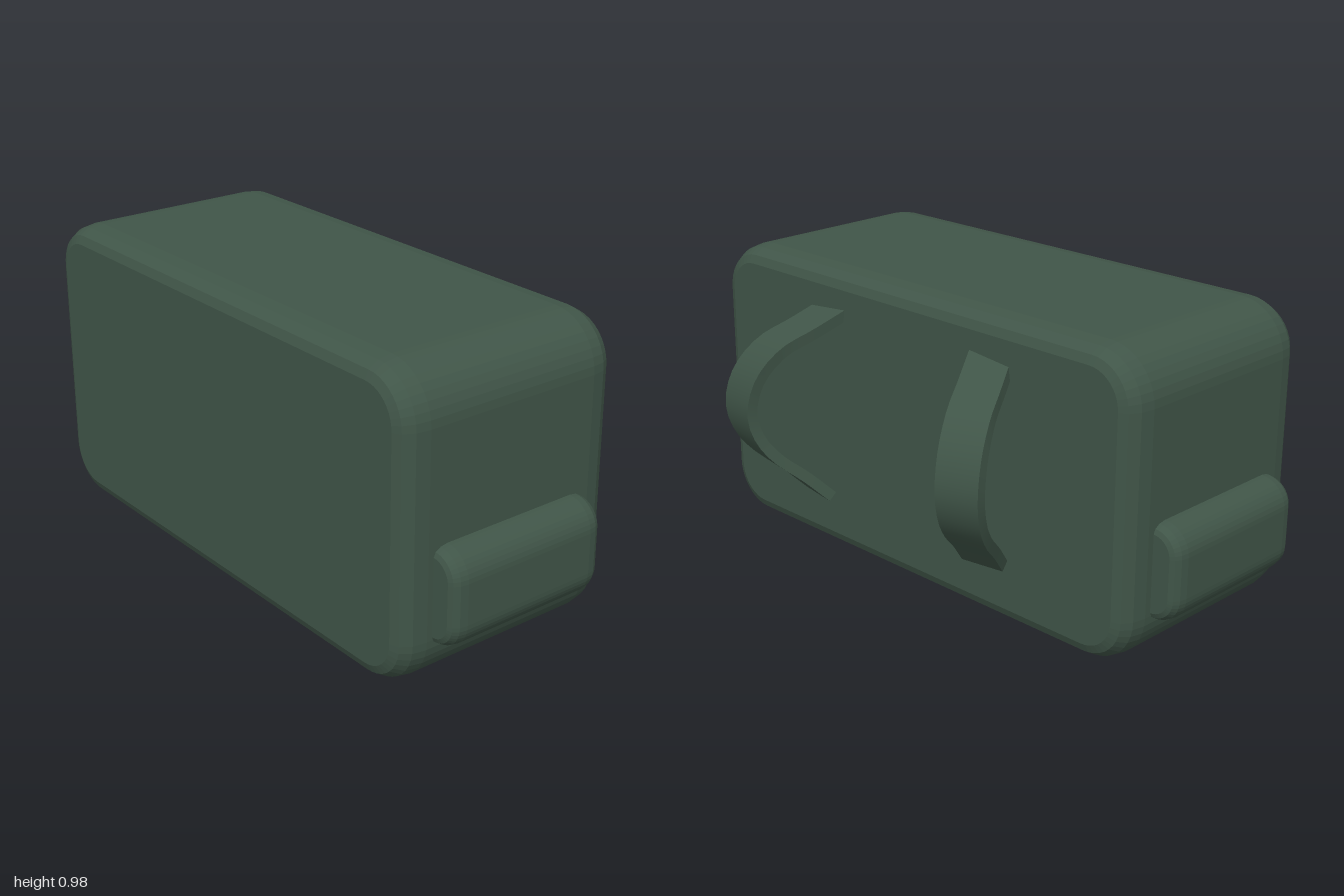
import * as THREE from 'three';

const fabric = new THREE.MeshStandardMaterial({ color: 0x405548 });
fabric.name = 'dark green fabric';

// Box with rounded outline in x/y and a soft bevel on its z ends
function paddedBox(name, [w, h, d], radius, bevelSize, bevelDepth, [x, y, z]) {
  const a = w / 2, b = h / 2, r = radius;
  const shape = new THREE.Shape();
  shape.absarc(a - r, b - r, r, 0, Math.PI / 2);
  shape.absarc(r - a, b - r, r, Math.PI / 2, Math.PI);
  shape.absarc(r - a, r - b, r, Math.PI, Math.PI * 1.5);
  shape.absarc(a - r, r - b, r, Math.PI * 1.5, Math.PI * 2);
  shape.closePath();
  const geo = new THREE.ExtrudeGeometry(shape, {
    depth: d - 2 * bevelDepth,
    curveSegments: 5,
    bevelSegments: 3,
    bevelSize,
    bevelOffset: -bevelSize,
    bevelThickness: bevelDepth,
  });
  geo.translate(0, 0, bevelDepth - d / 2);
  const mesh = new THREE.Mesh(geo, fabric);
  mesh.name = name;
  mesh.position.set(x, y, z);
  return mesh;
}

// Flat band bent along a curve that bows backwards and outwards
function strap(name, side) {
  const profile = [
    [0.215, -0.285], [0.295, -0.36], [0.37, -0.44], [0.44, -0.488], [0.53, -0.51],
    [0.64, -0.485], [0.73, -0.415], [0.785, -0.32], [0.845, -0.22],
  ];
  const path = new THREE.CatmullRomCurve3(profile.map(([y, z]) =>
    new THREE.Vector3(side * (0.375 + 0.53 * (-z - 0.27)), y, z)));
  const width = new THREE.Vector3(1, 0, side * 0.17).normalize();
  const geo = new THREE.BoxGeometry(0.15, 0.036, 1, 1, 1, 24);
  const pos = geo.attributes.position;
  for (let i = 0; i < pos.count; i++) {
    const t = THREE.MathUtils.clamp(pos.getZ(i) + 0.5, 0, 1);
    const normal = path.getTangentAt(t).cross(width).normalize();
    const p = path.getPointAt(t)
      .addScaledVector(width, pos.getX(i))
      .addScaledVector(normal, pos.getY(i));
    pos.setXYZ(i, p.x, p.y, p.z);
  }
  geo.computeVertexNormals();
  const mesh = new THREE.Mesh(geo, fabric);
  mesh.name = name;
  return mesh;
}

export function createModel() {
  const bag = new THREE.Group();
  bag.name = 'backpack';

  // Main compartment
  bag.add(paddedBox('body', [1.82, 0.975, 0.79], 0.165, 0.055, 0.09, [0, 0.4875, 0.145]));

  // Side pockets and shoulder straps, one of each per side
  for (const [label, side] of [['left', 1], ['right', -1]]) {
    bag.add(paddedBox(label + 'Pocket', [0.24, 0.31, 0.57], 0.09, 0.03, 0.05,
      [side * 0.88, 0.3, 0.147]));
    bag.add(strap(label + 'Strap', side));
  }
  return bag;
}
